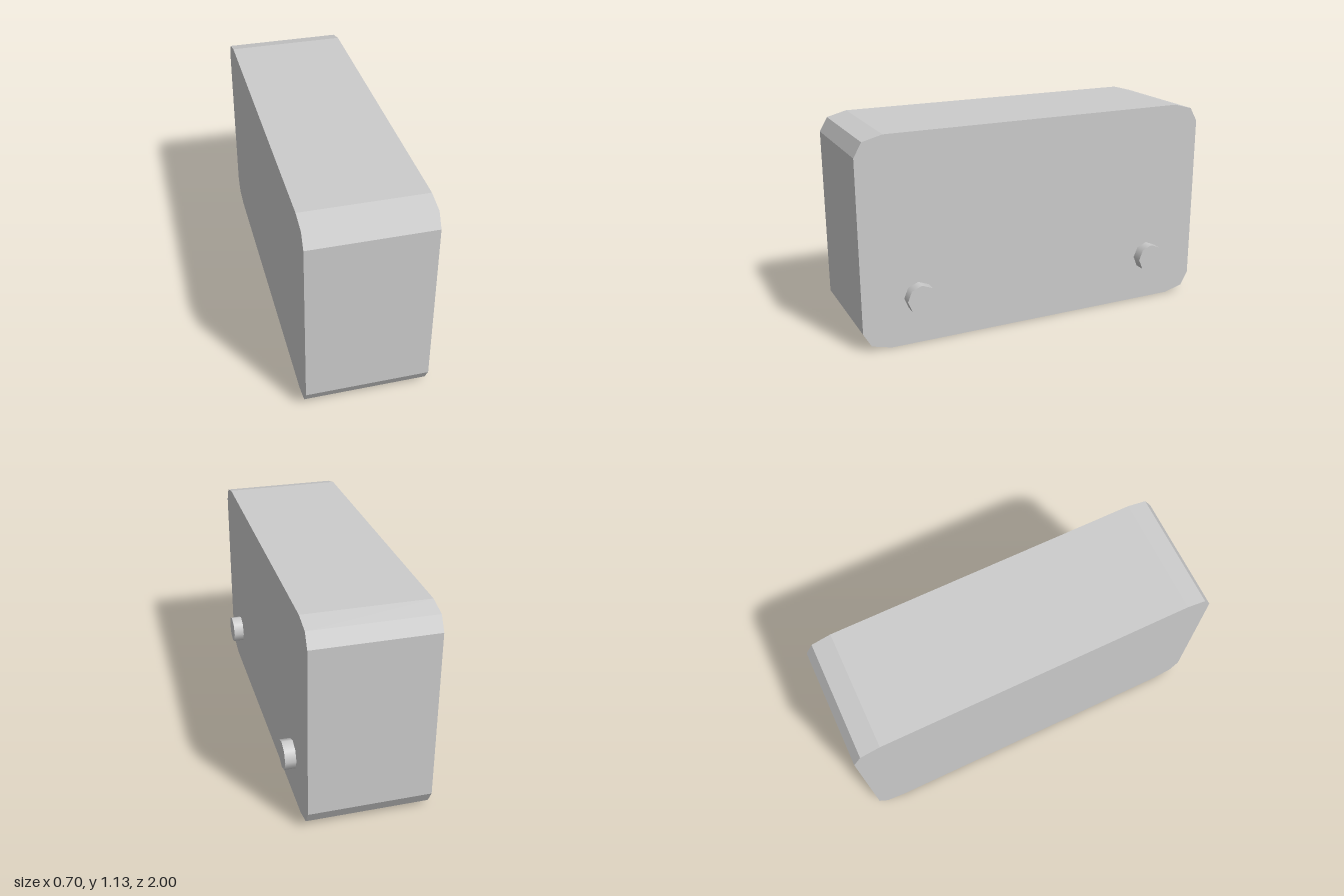
import * as THREE from 'three';

const HEIGHT = 1.13;
const SIDE_X = 0.293; // left face of the body, where the pegs sit
const WIDTH = 0.646;

export function createModel() {
  const group = new THREE.Group();
  const material = new THREE.MeshStandardMaterial({ color: 0xcccccc });

  // Body: block with two-step chamfered corners, extruded across x
  const corner = [[1, 0.103], [0.957, 0.028], [0.85, 0]];
  const upper = corner.map(([z, y]) => [z, HEIGHT - y]);
  const half = [...[...corner].reverse(), ...upper];
  const mirrored = half.map(([z, y]) => [-z, y]).reverse();
  const profile = new THREE.Shape([...half, ...mirrored].map(([z, y]) => new THREE.Vector2(z, y)));
  const bodyGeometry = new THREE.ExtrudeGeometry(profile, { depth: WIDTH, bevelEnabled: false });
  bodyGeometry.rotateY(-Math.PI / 2).translate(SIDE_X, 0, 0);
  const body = new THREE.Mesh(bodyGeometry, material);
  body.name = 'body';
  group.add(body);

  // Pegs: two short eight-sided studs low on the left face
  const pegLength = 0.067;
  const pegGeometry = new THREE.CylinderGeometry(0.079, 0.079, pegLength, 8).rotateZ(-Math.PI / 2);
  for (const [name, z] of [['frontPeg', 0.695], ['backPeg', -0.695]]) {
    const peg = new THREE.Mesh(pegGeometry, material);
    peg.name = name;
    peg.position.set(0.351 - pegLength / 2, 0.26, z);
    group.add(peg);
  }

  return group;
}
